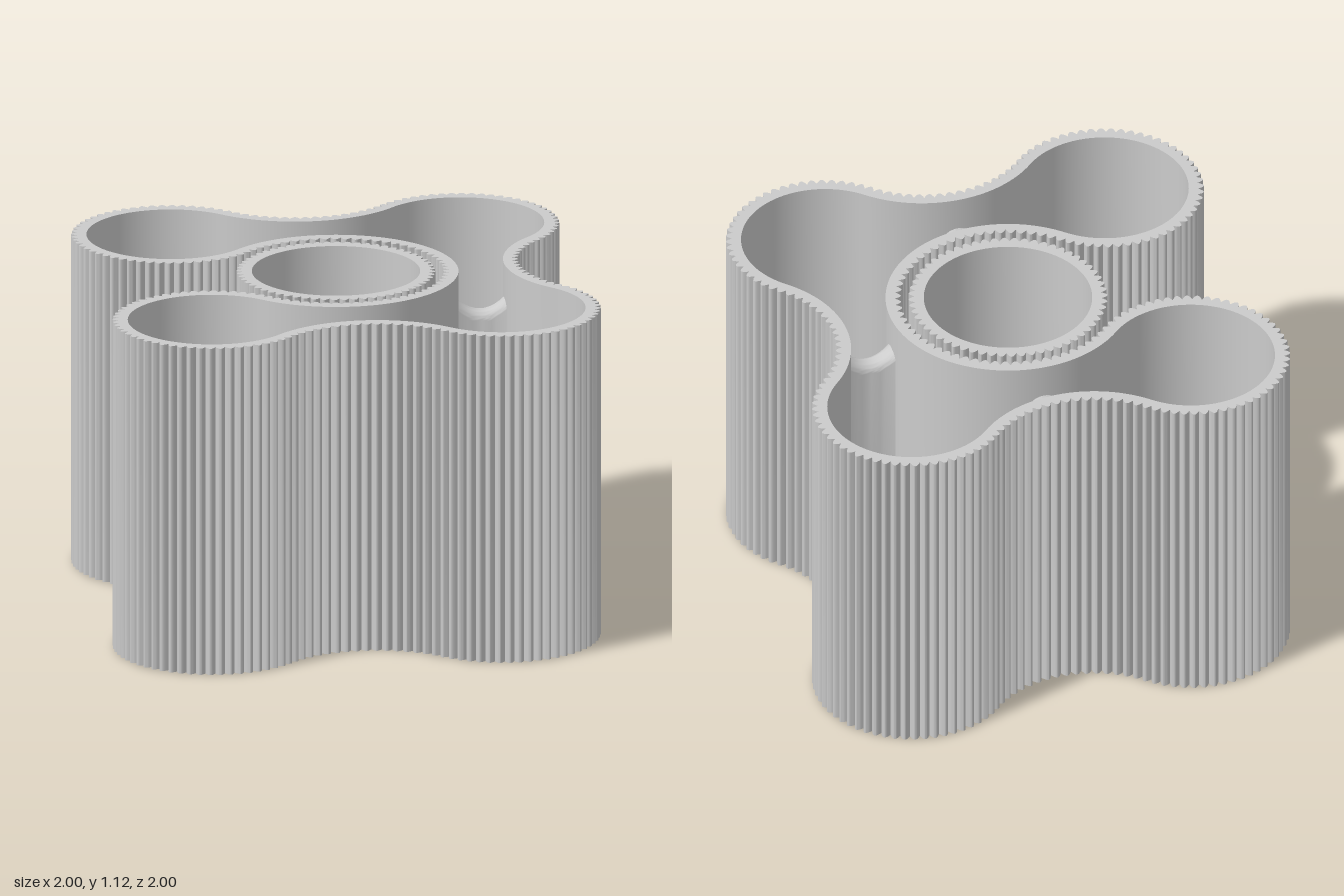
import * as THREE from 'three';
import { toCreasedNormals } from 'three/addons/utils/BufferGeometryUtils.js';

const HEIGHT = 1.115, FLOOR = 0.04, WALL = 0.04;
const P = 0.675;                  // distance of lobe centres from the axis
const LOBE = 0.315, HOLLOW = P - LOBE;
const AMP = 0.01;                 // rib depth (half)
const STEPS = 8;                  // points per rib

// Outline as tangent arcs: centre x, centre y, side (+1 lobe, -1 hollow), start and end in quarter turns
const BODY = [
  [-P, 0, 1, 0, -3],   // left lobe
  [-P, P, -1, -1, 0],  // back left waist
  [0, P, 1, 2, 0],     // back lobe
  [P, P, -1, 2, 3],    // back right waist
  [P, 0, 1, 1, -1],    // right lobe
  [P, -P, -1, 1, 2],   // front right waist
  [0, -P, 1, 0, -3],   // front lobe
  [0, 0, -1, -1, 2],   // pocket around the cup
];
const CUP = [[0, 0, 1, 0, -4]];

// Points along the arcs: ribbed with rounded bumps, or smooth at the wall's inside
function outline(arcs, ribbed) {
  const points = [];
  for (const [cx, cy, side, q0, q1] of arcs) {
    const ribs = (side > 0 ? 15 : 17) * Math.abs(q1 - q0);
    const n = ribs * (ribbed ? STEPS : 2);
    for (let i = 0; i < n; i++) {
      const t = i / n;
      const a = (q0 + (q1 - q0) * t) * Math.PI / 2;
      const out = ribbed ? AMP * (2 * Math.abs(Math.cos(t * ribs * Math.PI)) - 1) : -WALL;
      const r = (side > 0 ? LOBE : HOLLOW) + side * out;
      points.push(new THREE.Vector2(cx + r * Math.cos(a), cy + r * Math.sin(a)));
    }
  }
  return points;
}

function slab(shape, height) {
  const g = new THREE.ExtrudeGeometry(shape, { depth: height, bevelEnabled: false });
  g.rotateX(-Math.PI / 2);
  return toCreasedNormals(g, 0.8);
}

// Divider across a waist: rounded top edge, saddle-shaped and flared to the walls
function divider() {
  const r0 = HOLLOW + WALL - 0.015, r1 = P * Math.SQRT2 - HOLLOW - WALL + 0.015;
  const top = 0.965, half = 0.035, depth = r1 - r0;
  const section = new THREE.Shape();
  section.moveTo(-half, 0.01);
  section.lineTo(half, 0.01);
  section.lineTo(half, top - half);
  section.absarc(0, top - half, half, 0, Math.PI, false);
  const g = new THREE.ExtrudeGeometry(section, {
    depth, steps: 12, bevelEnabled: false, curveSegments: 12,
  });
  const pos = g.attributes.position;
  for (let k = 0; k < pos.count; k++) {
    const u = pos.getZ(k) / depth * 2 - 1;
    pos.setX(k, pos.getX(k) * (1 + 0.35 * u * u));
    if (pos.getY(k) > 0.5) pos.setY(k, pos.getY(k) + 0.05 * u * u);
  }
  g.translate(0, 0, r0);
  return toCreasedNormals(g, 0.8);
}

export function createModel() {
  const model = new THREE.Group();
  const material = new THREE.MeshStandardMaterial({ color: 0xcccccc });

  const add = (parent, name, geometry) => {
    const mesh = new THREE.Mesh(geometry, material);
    mesh.name = name;
    parent.add(mesh);
    return mesh;
  };

  // Ribbed wall with a smooth inside, closed by a floor
  const vessel = (name, arcs) => {
    const group = new THREE.Group();
    group.name = name;
    const inner = outline(arcs, false);
    const wall = new THREE.Shape(outline(arcs, true));
    wall.holes.push(new THREE.Path([...inner].reverse()));  // holes run against the outline
    add(group, name + 'Wall', slab(wall, HEIGHT));
    add(group, name + 'Floor', slab(new THREE.Shape(inner), FLOOR));
    model.add(group);
    return group;
  };
  const tray = vessel('lobedTray', BODY);
  vessel('centreCup', CUP);

  // One divider at each closed waist
  const waists = { dividerFrontLeft: 1, dividerBackLeft: 3, dividerBackRight: 5 };
  const dividerGeometry = divider();
  for (const [name, turn] of Object.entries(waists)) {
    add(tray, name, dividerGeometry).rotation.y = turn * Math.PI / 4;
  }
  return model;
}
